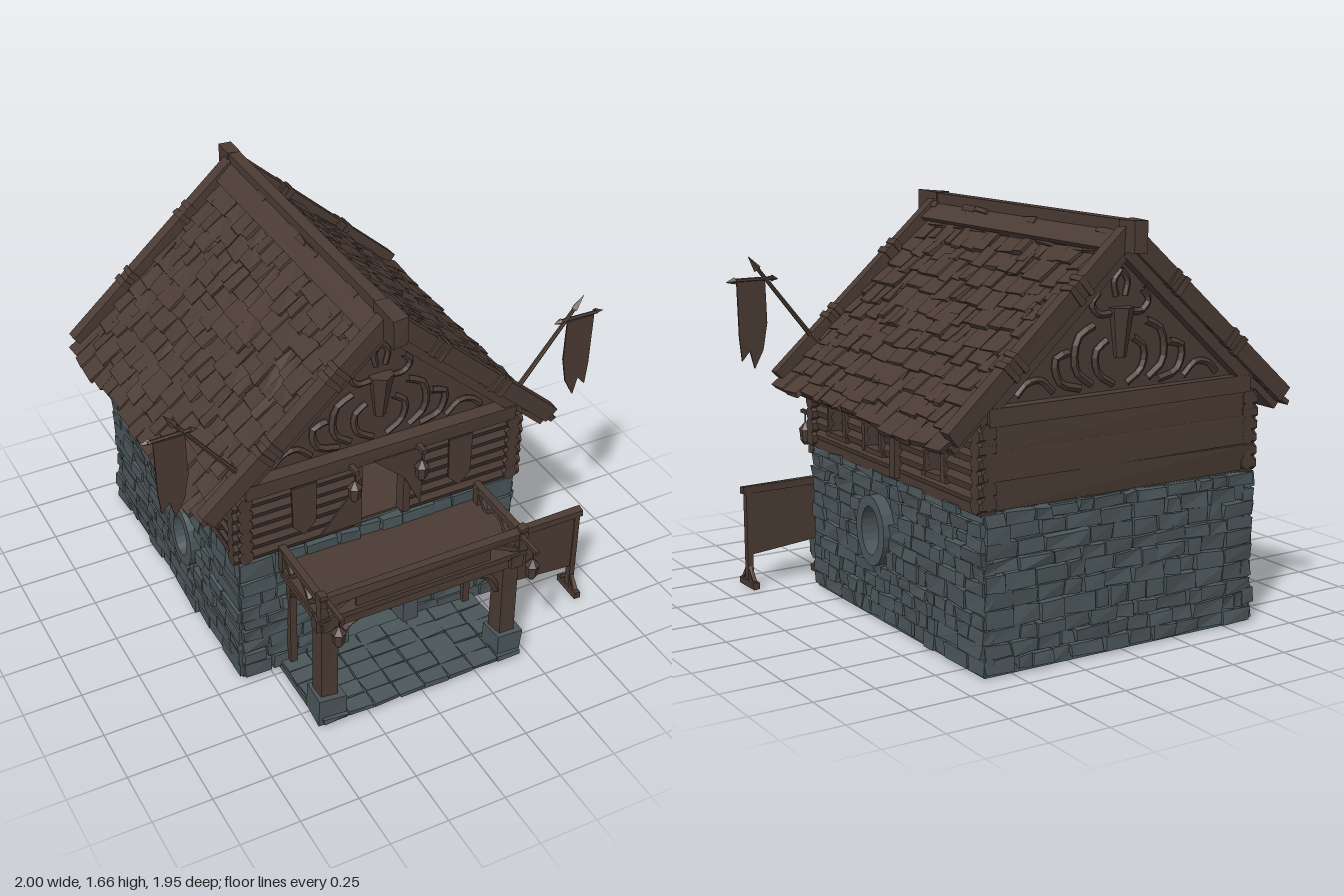
import * as THREE from 'three';
import { mergeGeometries } from 'three/addons/utils/BufferGeometryUtils.js';

const wood = new THREE.MeshStandardMaterial({ color: 0x4b3b34, flatShading: true, side: THREE.DoubleSide });
wood.name = 'dark wood';
const stone = new THREE.MeshStandardMaterial({ color: 0x4b5659, flatShading: true, side: THREE.DoubleSide });
stone.name = 'grey stone';

let seed = 7;
const rnd = (a = 0, b = 1) => {
  seed = (seed * 16807) % 2147483647;
  return a + (b - a) * seed / 2147483647;
};
const V = (x, y, z) => new THREE.Vector3(x, y, z);
const sides = [-1, 1];

// box whose eight corners may be shifted at random
function box(w, h, d, x = 0, y = 0, z = 0, rough = 0) {
  const g = new THREE.BoxGeometry(w, h, d), p = g.attributes.position;
  if (rough) {
    const off = Array.from({ length: 8 }, () => V(rnd(-rough, rough), rnd(-rough, rough), rnd(-rough, rough)));
    for (let i = 0; i < p.count; i++) {
      const o = off[(p.getX(i) > 0) + 2 * (p.getY(i) > 0) + 4 * (p.getZ(i) > 0)];
      p.setXYZ(i, p.getX(i) + o.x, p.getY(i) + o.y, p.getZ(i) + o.z);
    }
  }
  return g.translate(x, y, z);
}
const place = (g, a, b) => {
  const dir = b.clone().sub(a).normalize();
  g.applyQuaternion(new THREE.Quaternion().setFromUnitVectors(V(0, 1, 0), dir));
  return g.translate((a.x + b.x) / 2, (a.y + b.y) / 2, (a.z + b.z) / 2);
};
const beam = (a, b, w, d, rough = 0.003) => place(box(w, a.distanceTo(b), d, 0, 0, 0, rough), a, b);
const log = (a, b, r, r2 = r, n = 7) => place(new THREE.CylinderGeometry(r2, r, a.distanceTo(b), n), a, b);
const tube = (pts, r) => new THREE.TubeGeometry(new THREE.CatmullRomCurve3(pts), 8, r, 5);
const extrude = (shape, depth, z = 0) =>
  new THREE.ExtrudeGeometry(shape, { depth, bevelEnabled: false, curveSegments: 10 }).translate(0, 0, z);
const poly = pts => new THREE.Shape(pts.map(p => new THREE.Vector2(...p)));

function add(parent, name, geos, mat) {
  const list = geos.map(g => {
    const n = g.index ? g.toNonIndexed() : g;
    n.deleteAttribute('uv');
    return n;
  });
  const m = new THREE.Mesh(mergeGeometries(list), mat);
  m.name = name;
  parent.add(m);
  return m;
}

function ellipse(kind, x, y, rx, ry) {
  return new kind().absellipse(x, y, rx, ry, 0, Math.PI * 2);
}
function arch(kind, x, half, spring) {
  return new kind().moveTo(x + half, 0.02).lineTo(x + half, spring)
    .absarc(x, spring, half, 0, Math.PI).lineTo(x - half, 0.02).closePath();
}

// backing wall with courses of rough stones, leaving one opening free
function stoneWall(parent, name, width, opening) {
  const h = 0.62, w2 = width / 2, geos = [];
  const back = poly([[-w2, 0.01], [w2, 0.01], [w2, h], [-w2, h]]);
  if (opening) back.holes.push(opening.path);
  geos.push(extrude(back, 0.05, -0.05));
  for (let y = 0.01; y < h - 0.02;) {
    let rh = rnd(0.045, 0.075);
    if (y + rh > h - 0.03) rh = h - y;
    for (let x = -w2 - 0.025; x < w2;) {
      let rw = rnd(0.06, 0.16);
      if (x + rw > w2 - 0.04) rw = w2 + 0.025 - x;
      const o = opening;
      const nx = o && THREE.MathUtils.clamp(o.x, x, x + rw), ny = o && THREE.MathUtils.clamp(o.y, y, y + rh);
      if (!o || ((nx - o.x) / o.rx) ** 4 + ((ny - o.y) / o.ry) ** 4 > 1)
        geos.push(box(rw - 0.006, rh - 0.005, 0.05, x + rw / 2, y + rh / 2, rnd(-0.005, 0.01), 0.006));
      x += rw;
    }
    y += rh;
  }
  return add(parent, name, geos, stone);
}

function buildBase(g) {
  add(g, 'stoneFloor', [box(1.24, 0.03, 1.34, 0, 0.015, -0.215), box(0.92, 0.03, 0.42, 0, 0.015, 0.63)], stone);
  const paving = [];
  for (let x = -0.4; x < 0.42; x += 0.115)
    for (let z = 0.51; z < 0.84; z += 0.08) paving.push(box(0.11, 0.02, 0.076, x, 0.03, z, 0.004));
  add(g, 'porchPaving', paving, stone);

  const dx = -0.025;
  const front = stoneWall(g, 'frontStoneWall', 1.2,
    { path: arch(THREE.Path, dx, 0.13, 0.28), x: dx, y: 0.18, rx: 0.155, ry: 0.27 });
  front.position.z = 0.45;
  const ring = arch(THREE.Shape, dx, 0.2, 0.29);
  ring.holes.push(arch(THREE.Path, dx, 0.13, 0.28));
  add(g, 'doorArch', [extrude(ring, 0.11, 0.39)], stone);
  add(g, 'openDoor', [box(0.02, 0.34, 0.2, 0.11, 0.2, 0.3)], wood);

  const back = stoneWall(g, 'backStoneWall', 1.2);
  back.position.z = -0.87;
  back.rotation.y = Math.PI;
  for (const s of sides) {
    const x = -s * 0.135, y = 0.375;
    const wall = stoneWall(g, s > 0 ? 'leftStoneWall' : 'rightStoneWall', 1.31,
      { path: ellipse(THREE.Path, x, y, 0.07, 0.1), x, y, rx: 0.085, ry: 0.115 });
    wall.position.set(s * 0.605, 0, -0.215);
    wall.rotation.y = s * Math.PI / 2;
    const frame = ellipse(THREE.Shape, x, y, 0.115, 0.145);
    frame.holes.push(ellipse(THREE.Path, x, y, 0.07, 0.1));
    add(wall, 'roundWindowFrame', [extrude(frame, 0.1, -0.05)], stone);
  }
}

function buildUpperStorey(g) {
  const logs = [], frames = [];
  const windows = [[-0.61, -0.5], [-0.13, -0.02], [0.17, 0.29]];
  for (let i = 0; i < 6; i++) {
    const y = 0.65 + i * 0.052, r = rnd(0.029, 0.034), broken = y > 0.69 && y < 0.86;
    for (const s of sides) {
      logs.push(log(V(s * 0.11, y, 0.45), V(s * 0.65, y, 0.45), r));
      logs.push(log(V(s * 0.57, y, -0.86), V(s * 0.645, y, -0.86), r));
      let z = -0.89;
      for (const [a, b] of broken ? [...windows, [0.49, 0.49]] : [[0.49, 0.49]]) {
        logs.push(log(V(s * 0.6, y + 0.01, z), V(s * 0.6, y + 0.01, a), r));
        z = b;
      }
    }
  }
  add(g, 'logWalls', logs, wood);
  // window frames, mid posts and wall plates
  for (const s of sides) {
    for (const [a, b] of windows) {
      const m = (a + b) / 2;
      for (const y of [0.695, 0.86]) frames.push(box(0.05, 0.022, 0.17, s * 0.615, y, m, 0.003));
      for (const z of [a - 0.012, b + 0.012]) frames.push(box(0.05, 0.18, 0.022, s * 0.615, 0.778, z, 0.003));
    }
    frames.push(box(0.05, 0.3, 0.045, s * 0.625, 0.78, -0.26, 0.003));
    frames.push(box(0.06, 0.04, 1.34, s * 0.6, 0.63, -0.21), box(0.06, 0.05, 1.34, s * 0.6, 0.95, -0.21));
    frames.push(box(0.03, 0.3, 0.05, s * 0.11, 0.78, 0.46, 0.003));
  }
  add(g, 'windowFramesAndPosts', frames, wood);
  add(g, 'backPlanks', [0, 1, 2].map(i => box(1.22, 0.112, 0.035, 0, 0.68 + i * 0.11, -0.87, 0.006)), wood);
  add(g, 'upperFloor', [box(1.18, 0.02, 1.3, 0, 0.62, -0.21)], wood);

  // cloths hung on the front
  const pennant = x => poly([[x - 0.055, 0.93], [x + 0.055, 0.93], [x + 0.05, 0.74], [x, 0.69], [x - 0.05, 0.74]]);
  add(g, 'frontPennants', [-0.35, 0.35].map(x => extrude(pennant(x), 0.008, 0.485)), wood);
  add(g, 'doorDrapes', [
    extrude(poly([[-0.28, 0.66], [-0.1, 0.66], [-0.1, 0.88]]), 0.008, 0.49),
    extrude(poly([[-0.05, 0.95], [0.18, 0.95], [0.165, 0.67], [0.09, 0.82]]), 0.008, 0.495)], wood);
}

function buildGable(g, z, face, name) {
  const gable = new THREE.Group();
  gable.name = name;
  const parts = [extrude(poly([[-0.66, 0.93], [0.66, 0.93], [0, 1.54]]), 0.03, -0.03),
    box(1.2, 0.065, 0.07, 0, 0.975, 0.02, 0.004)];
  for (const s of sides) parts.push(beam(V(s * 0.6, 0.99, 0.02), V(0, 1.53, 0.02), 0.05, 0.06));
  add(gable, 'gablePanel', parts, wood);
  // carved horned head among mirrored scrolls
  const relief = [log(V(0, 1.13, 0.005), V(0, 1.32, 0.005), 0.025, 0.055, 6)];
  for (const s of sides) {
    const line = (pts, r) => relief.push(tube(pts.map(([x, y]) => V(s * x, y, 0.005)), r));
    line([[0.04, 1.3], [0.1, 1.3], [0.13, 1.34], [0.1, 1.38]], 0.014);
    line([[0.03, 1.03], [0.1, 1.08], [0.11, 1.16], [0.06, 1.2]], 0.015);
    line([[0.13, 1.04], [0.2, 1.1], [0.19, 1.22], [0.12, 1.26]], 0.016);
    line([[0.18, 1.03], [0.27, 1.06], [0.29, 1.15], [0.23, 1.17]], 0.016);
    line([[0.3, 1.03], [0.36, 1.08], [0.42, 1.07], [0.46, 1.03]], 0.014);
    line([[0.02, 1.36], [0.03, 1.42], [0, 1.46]], 0.013);
  }
  add(gable, 'carvedRelief', relief, wood);
  gable.position.z = z;
  if (face < 0) gable.rotation.y = Math.PI;
  g.add(gable);
}

function buildRoof(g) {
  const angle = THREE.MathUtils.degToRad(42), rows = 12, len = 1.06;
  for (const s of sides) {
    const geos = [box(len - 0.03, 0.03, 1.36, len / 2, -0.045, 0)];
    for (let r = 0; r < rows; r++) {
      const v = (r + 0.5) * len / rows;
      for (let u = -0.69; u < 0.68;) {
        const w = Math.min(rnd(0.05, 0.13), 0.7 - u);
        const tile = box(len / rows + rnd(0.01, 0.05), 0.022, w - 0.004, 0, 0, 0, 0.006).rotateZ(rnd(0.06, 0.14));
        geos.push(tile.translate(v + rnd(-0.015, 0.015), rnd(-0.022, -0.012), u + w / 2));
        u += w;
      }
    }
    // ridge plank
    geos.push(box(0.1, 0.02, 1.4, 0.055, 0.012, 0, 0.004));
    const roof = add(g, s > 0 ? 'leftRoofSlope' : 'rightRoofSlope',
      geos.map(q => s > 0 ? q.rotateZ(-angle) : q.rotateZ(-angle).rotateY(Math.PI)), wood);
    roof.position.set(0, 1.6, -0.2);
    // barge boards with raised bindings
    const boards = [];
    for (const z of [0.49, -0.885]) {
      boards.push(beam(V(s * 0.765, 0.915, z), V(0, 1.6, z), 0.07, 0.055));
      for (const t of [0.25, 0.3, 0.62, 0.67])
        boards.push(beam(V(s * 0.765 * t, 1.6 - 0.685 * t, z), V(s * 0.765 * (t + 0.025), 1.6 - 0.685 * (t + 0.025), z), 0.082, 0.068));
    }
    add(g, 'bargeBoards', boards, wood);
  }
  add(g, 'ridgeBeam', [box(0.06, 0.12, 0.16, 0, 1.59, 0.52, 0.004), box(0.06, 0.12, 0.1, 0, 1.59, -0.92, 0.004),
    box(0.05, 0.055, 1.5, 0, 1.62, -0.18)], wood);
}

function lantern(g, x, y, z) {
  add(g, 'lantern', [log(V(x, y - 0.05, z), V(x, y, z), 0.024, 0.028, 6), log(V(x, y, z), V(x, y + 0.03, z), 0.032, 0.006, 6),
    log(V(x, y + 0.02, z), V(x, y + 0.08, z), 0.004, 0.004, 4), log(V(x, y - 0.07, z), V(x, y - 0.05, z), 0.01, 0.024, 6)], wood);
}

function buildPorch(g) {
  const w = [], feet = [];
  w.push(box(0.92, 0.025, 0.38, 0, 0.555, 0.66), box(0.94, 0.07, 0.05, 0, 0.525, 0.81, 0.004));
  w.push(box(0.92, 0.04, 0.035, 0, 0.645, 0.83, 0.004), box(0.6, 0.06, 0.015, 0, 0.595, 0.83));
  for (const s of sides) {
    const x = s * 0.41;
    feet.push(box(0.115, 0.12, 0.12, x, 0.07, 0.79, 0.008));
    w.push(box(0.075, 0.4, 0.075, x, 0.32, 0.79, 0.004), box(0.03, 0.55, 0.03, x, 0.29, 0.49));
    w.push(box(0.06, 0.06, 0.38, s * 0.42, 0.525, 0.66, 0.004), box(0.03, 0.03, 0.38, s * 0.445, 0.645, 0.66));
    w.push(box(0.035, 0.14, 0.035, s * 0.445, 0.61, 0.83, 0.003), box(0.035, 0.1, 0.035, s * 0.445, 0.6, 0.5, 0.003));
    // curved braces and railing struts
    w.push(tube([V(s * 0.37, 0.35, 0.79), V(s * 0.32, 0.44, 0.79), V(s * 0.21, 0.49, 0.79)], 0.018));
    w.push(tube([V(x, 0.4, 0.76), V(x, 0.47, 0.71), V(x, 0.5, 0.64)], 0.016));
    w.push(tube([V(x, 0.4, 0.5), V(x, 0.47, 0.54), V(x, 0.5, 0.62)], 0.016));
    w.push(beam(V(s * 0.43, 0.57, 0.83), V(s * 0.3, 0.64, 0.83), 0.018, 0.018));
    for (const [a, b] of [[0.81, 0.73], [0.65, 0.73], [0.65, 0.57], [0.51, 0.57]])
      w.push(beam(V(s * 0.445, 0.64, a), V(s * 0.445, 0.565, b), 0.018, 0.018));
    w.push(box(0.016, 0.016, 0.14, s * 0.43, 0.65, 0.9));
    lantern(g, s * 0.43, 0.57, 0.94);
    w.push(box(0.02, 0.02, 0.1, s * 0.15, 0.96, 0.5));
    lantern(g, s * 0.15, 0.88, 0.53);
  }
  add(g, 'porchFrame', w, wood);
  add(g, 'porchPostFeet', feet, stone);
}

function buildFlag(g, s) {
  const z = 0.47, X = x => s * x;
  add(g, 'flagPole', [log(V(X(0.6), 1.05, z), V(X(0.87), 1.39, z), 0.011, 0.008, 6),
    log(V(X(0.86), 1.375, z), V(X(0.9), 1.43, z), 0.017, 0.001, 4),
    log(V(X(0.79), 1.335, z), V(X(0.97), 1.335, z + 0.005), 0.008, 0.008, 5),
    log(V(X(0.96), 1.335, z), V(X(1), 1.33, z), 0.015, 0.001, 4), log(V(X(0.8), 1.335, z), V(X(0.77), 1.33, z), 0.015, 0.001, 4)], wood);
  const cloth = [[0.825, 1.33], [0.95, 1.33], [0.945, 1.1], [0.935, 1], [0.9, 1.04], [0.88, 0.965], [0.84, 1.04], [0.82, 1.15]];
  add(g, 'flagCloth', [extrude(poly(cloth.map(([x, y]) => [X(x), y])), 0.008, z + 0.005)], wood);
}

function buildNoticeBoard(g) {
  const parts = [box(0.41, 0.03, 0.035, 0.695, 0.425, 0.6, 0.003),
    extrude(poly([[0.54, 0.17], [0.87, 0.14], [0.88, 0.41], [0.53, 0.41]]), 0.02, 0.59)];
  for (const x of [0.535, 0.875])
    parts.push(box(0.025, 0.42, 0.03, x, 0.22, 0.6), box(0.03, 0.03, 0.14, x, 0.015, 0.6, 0.003),
      beam(V(x, 0.03, 0.65), V(x, 0.1, 0.6), 0.015, 0.015), beam(V(x, 0.03, 0.55), V(x, 0.1, 0.6), 0.015, 0.015));
  add(g, 'noticeBoard', parts, wood);
}

export function createModel() {
  seed = 7;
  const g = new THREE.Group();
  g.name = 'stoneAndTimberHouse';
  buildBase(g);
  buildUpperStorey(g);
  buildGable(g, 0.44, 1, 'frontGable');
  buildGable(g, -0.84, -1, 'backGable');
  buildRoof(g);
  buildPorch(g);
  for (const s of sides) buildFlag(g, s);
  buildNoticeBoard(g);
  return g;
}
